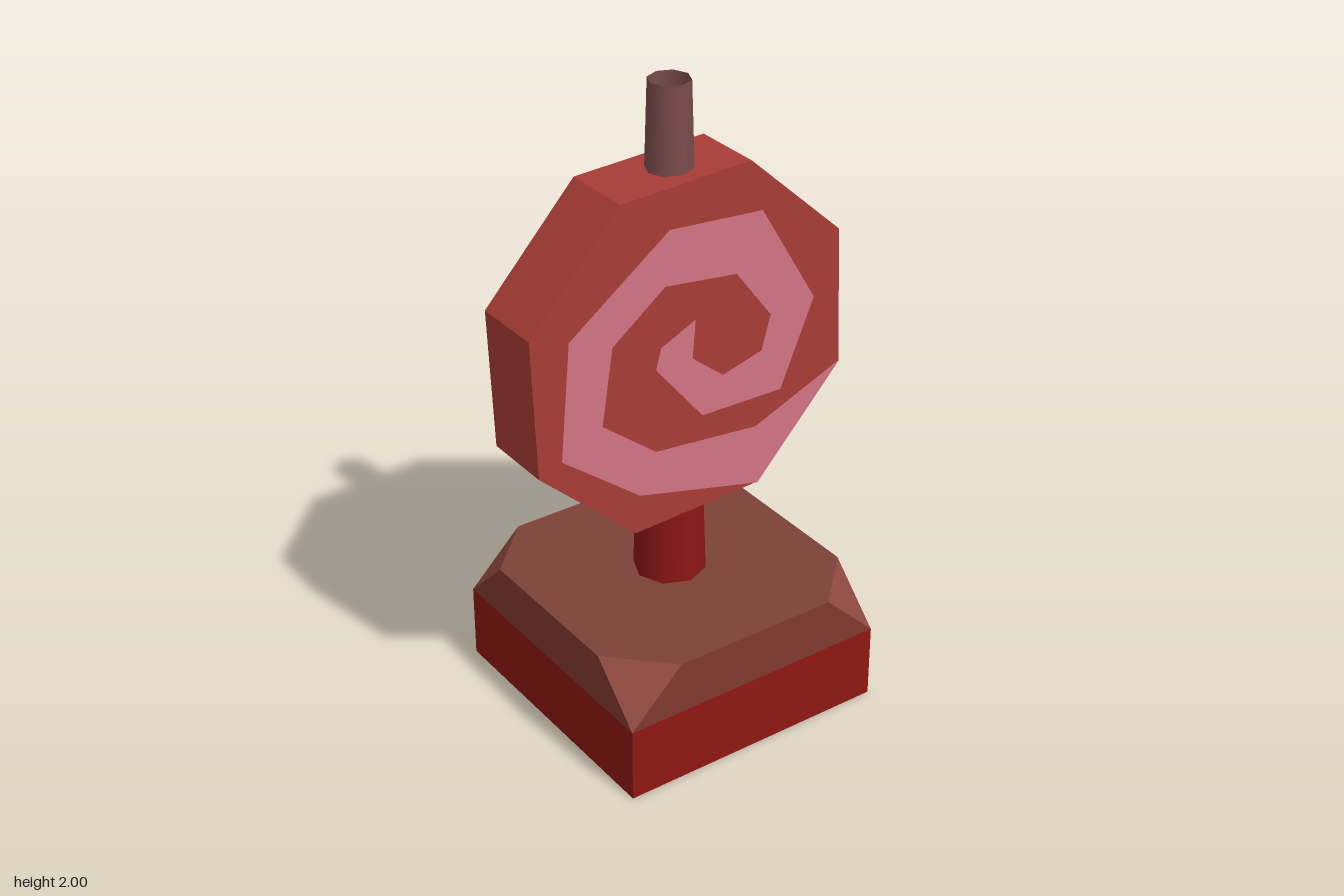
import * as THREE from 'three';

const mat = (color, flat = true) =>
  new THREE.MeshStandardMaterial({ color, flatShading: flat, side: THREE.DoubleSide });

function addMesh(parent, name, geometry, material) {
  const mesh = new THREE.Mesh(geometry, material);
  mesh.name = name;
  parent.add(mesh);
  return mesh;
}

// Flat polygon from corners listed counter-clockwise as seen from outside
function polygon(...corners) {
  const g = new THREE.BufferGeometry();
  g.setAttribute('position', new THREE.Float32BufferAttribute(corners.flat(), 3));
  const index = [];
  for (let i = 1; i < corners.length - 1; i++) index.push(0, i, i + 1);
  g.setIndex(index);
  g.computeVertexNormals();
  return g;
}

// Hollow block, open below, with its four upper corners cut off
function createBase() {
  const base = new THREE.Group();
  base.name = 'base';
  const w = 0.443, c = 0.27, h = 0.41, s = 0.24;
  const deepRed = mat(0x8e1812), redBrown = mat(0x803a30), brown = mat(0x7c4238);
  const corner = mat(0x8f4a40);
  const lower = polygon([-w, 0, w], [w, 0, w], [w, s, w], [-w, s, w]);
  const upper = polygon([-w, s, w], [w, s, w], [c, h, w], [-c, h, w]);
  const cut = polygon([w, s, w], [w, h, c], [c, h, w]);
  for (let i = 0; i < 4; i++) {
    const side = new THREE.Group();
    side.name = 'baseSide';
    side.rotation.y = i * Math.PI / 2;
    addMesh(side, 'lowerWall', lower, deepRed);
    addMesh(side, 'upperWall', upper, redBrown);
    addMesh(side, 'cutCorner', cut, corner);
    base.add(side);
  }
  addMesh(base, 'baseTop', polygon(
    [-c, h, w], [c, h, w], [w, h, c], [w, h, -c],
    [c, h, -w], [-c, h, -w], [-w, h, -c], [-w, h, c]), brown);
  return base;
}

// Outline in the disc plane, extruded sideways and centred on x = 0
function slab(points, thickness) {
  const shape = new THREE.Shape(points.map(([u, v]) => new THREE.Vector2(u, v)));
  return new THREE.ExtrudeGeometry(shape, { depth: thickness, bevelEnabled: false })
    .translate(0, 0, -thickness / 2)
    .rotateY(Math.PI / 2);
}

// Eight-sided disc with a spiral running through it
function createDisc() {
  const disc = new THREE.Group();
  disc.name = 'disc';
  disc.position.y = 1.202;
  const rim = (k, r) => {
    const a = THREE.MathUtils.degToRad(20.2 + 45 * k);
    return [r * Math.sin(a), r * Math.cos(a)];
  };
  const octagon = Array.from({ length: 8 }, (_, k) => rim(k, 0.58));
  addMesh(disc, 'discBody', slab(octagon, 0.228), mat(0xa83c36));

  // Outer edge of the spiral from the middle out, then its inner edge back
  const spiral = [
    [0.01, 0.1], [-0.11, 0.045], [-0.127, -0.02], [0.037, -0.223], [0.323, -0.228],
    [0.439, 0.047], [0.243, 0.38], [-0.079, 0.407], [-0.418, 0.158], [-0.45, -0.212],
    [-0.185, -0.419], rim(3, 0.582), rim(2, 0.582),
    [0.233, -0.328], [-0.127, -0.291], [-0.312, -0.143], [-0.275, 0.1], [-0.095, 0.237],
    [0.153, 0.205], [0.28, 0.036], [0.249, -0.075], [0.111, -0.112], [0, -0.022],
  ];
  addMesh(disc, 'spiral', slab(spiral, 0.231), mat(0xd37482));
  return disc;
}

// Length of the open tapering stem between two heights
function stemPiece(y0, y1) {
  const radius = y => 0.125 - 0.031 * y;
  return new THREE.CylinderGeometry(radius(y1), radius(y0), y1 - y0, 8, 1, true)
    .translate(0, (y0 + y1) / 2, 0);
}

export function createModel() {
  const model = new THREE.Group();
  model.name = 'spiralDiscOnStand';
  model.add(createBase(), createDisc());
  addMesh(model, 'lowerStem', stemPiece(0.3, 1.2), mat(0x8c1616, false));
  addMesh(model, 'upperStem', stemPiece(1.2, 2), mat(0x7a4c4a, false));
  return model;
}
